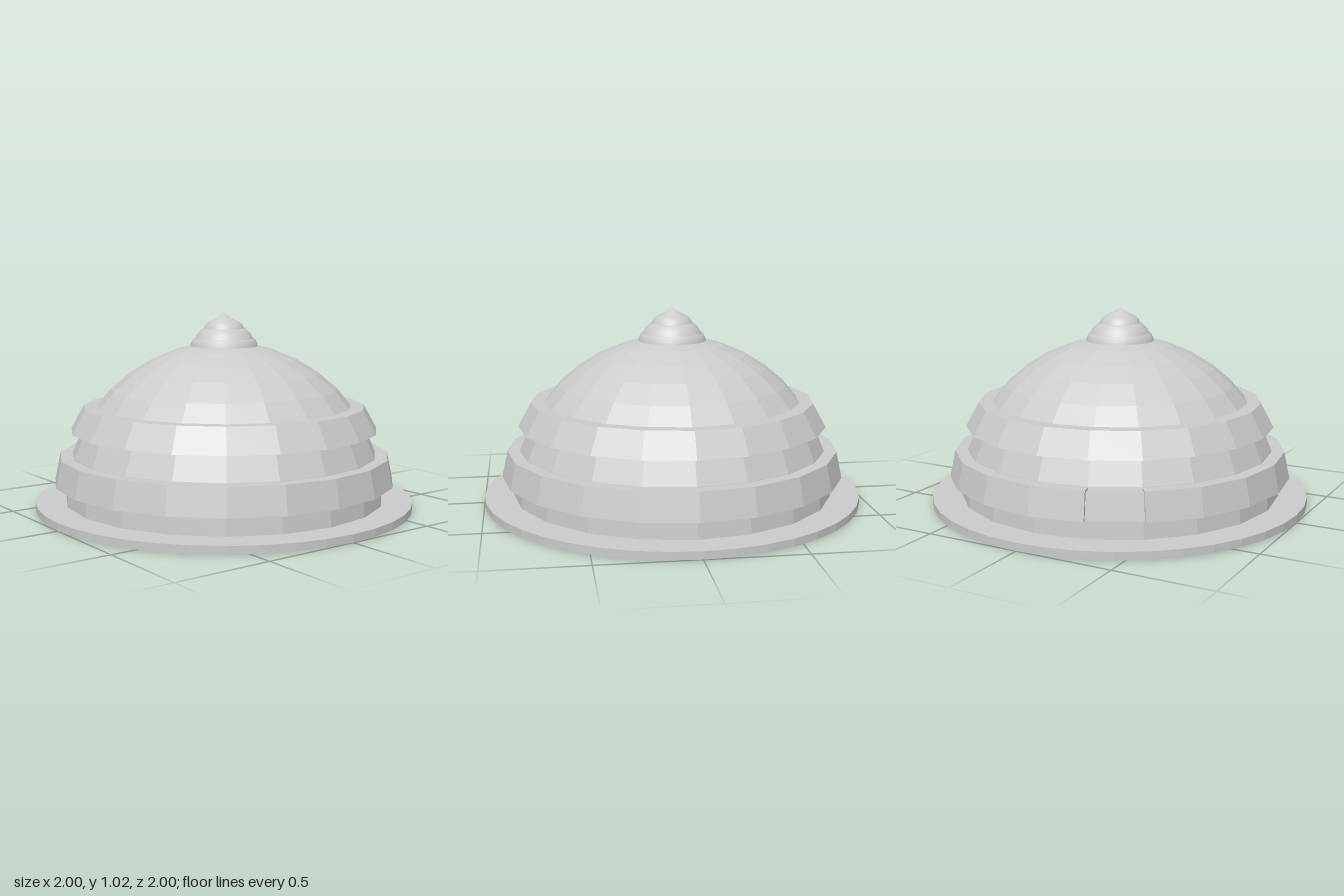
import * as THREE from 'three';

const SIDES = 20;
const STEP = (Math.PI * 2) / SIDES;

function material(flat, doubleSided = false) {
  return new THREE.MeshStandardMaterial({
    color: 0xcccccc,
    flatShading: flat,
    side: doubleSided ? THREE.DoubleSide : THREE.FrontSide,
  });
}

function add(parent, name, geometry, mat) {
  const mesh = new THREE.Mesh(geometry, mat);
  mesh.name = name;
  parent.add(mesh);
  return mesh;
}

const toPoints = (pairs) => pairs.map(([r, y]) => new THREE.Vector2(r, y));

// Solid ring section: profile runs inner bottom, outer bottom, outer top, inner top
function ringSection(parent, name, profile, firstStep = 0, steps = SIDES) {
  const points = toPoints(profile);
  const start = firstStep * STEP;
  add(parent, name, new THREE.LatheGeometry(points, steps, start, steps * STEP), material(true));

  // Close the two ends of a partial ring
  if (steps < SIDES) {
    for (const angle of [start, start + steps * STEP]) {
      const cap = add(parent, name + 'End', new THREE.ShapeGeometry(new THREE.Shape(points)), material(true, true));
      cap.rotation.y = angle - Math.PI / 2;
    }
  }
}

export function createModel() {
  const model = new THREE.Group();
  model.name = 'tieredDome';

  // Round base plate
  const plate = add(model, 'basePlate', new THREE.CylinderGeometry(1, 1, 0.04, 40), material(true));
  plate.position.y = 0.02;

  // Faceted hemisphere
  const dome = add(
    model,
    'dome',
    new THREE.SphereGeometry(0.85, SIDES, 10, 0, Math.PI * 2, 0, Math.PI / 2),
    material(true)
  );
  dome.position.y = 0.02;

  // Upper sloping band
  ringSection(model, 'upperBand', [[0.65, 0.41], [0.815, 0.41], [0.745, 0.535], [0.65, 0.535]]);

  // Lower band, interrupted by one recessed panel on the front right
  ringSection(model, 'lowerBand', [[0.78, 0.14], [0.905, 0.14], [0.875, 0.28], [0.78, 0.28]], 17, 19);
  ringSection(model, 'recessedPanel', [[0.78, 0.14], [0.885, 0.14], [0.86, 0.27], [0.78, 0.27]], 16, 1);

  // Stepped finial: each tier is a smooth lathe with a small ledge below the next
  const finial = new THREE.Group();
  finial.name = 'finial';
  model.add(finial);
  const tiers = [
    [[0.18, 0.835], [0.178, 0.855], [0.165, 0.885], [0.15, 0.888]],
    [[0.155, 0.885], [0.143, 0.91], [0.117, 0.938], [0.1, 0.942]],
    [[0.108, 0.938], [0.098, 0.96], [0.078, 0.978], [0.055, 0.981]],
    [[0.066, 0.978], [0.052, 0.991], [0.03, 0.998], [0.015, 1.01], [0, 1.02]],
  ];
  tiers.forEach((tier, i) =>
    add(finial, 'finialTier' + (i + 1), new THREE.LatheGeometry(toPoints(tier), 32), material(false))
  );

  return model;
}
